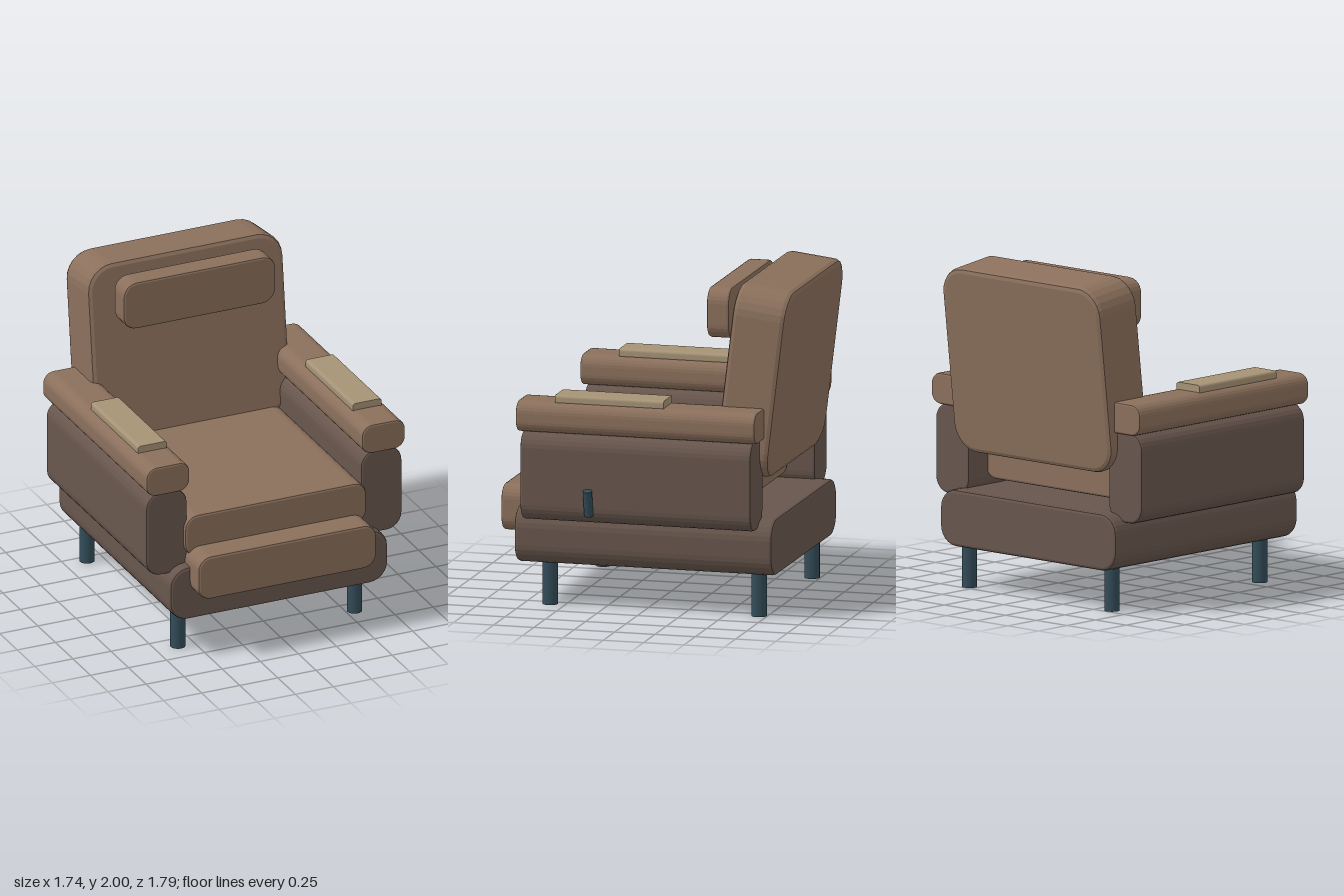
import * as THREE from 'three';

const material = (name, color) => {
  const m = new THREE.MeshStandardMaterial({ color });
  m.name = name;
  return m;
};

// Rounded rectangle outline centred on the origin
function roundedRect(w, h, r) {
  const s = new THREE.Shape();
  const x = w / 2 - r, y = h / 2 - r;
  s.absarc(x, y, r, 0, Math.PI / 2);
  s.absarc(-x, y, r, Math.PI / 2, Math.PI);
  s.absarc(-x, -y, r, Math.PI, Math.PI * 1.5);
  s.absarc(x, -y, r, Math.PI * 1.5, Math.PI * 2);
  s.closePath();
  return s;
}

// Padded block: rounded outline in x/y, bevelled at both z ends
function cushion(name, mat, [x0, x1], [y0, y1], [z0, z1], radius, bevel) {
  const w = x1 - x0, h = y1 - y0, d = z1 - z0;
  const shape = roundedRect(w - 2 * bevel, h - 2 * bevel, radius - bevel);
  const geo = new THREE.ExtrudeGeometry(shape, {
    depth: d - 2 * bevel, bevelEnabled: true, bevelSize: bevel,
    bevelThickness: bevel, bevelSegments: 2, curveSegments: 3,
  });
  geo.translate(0, 0, -(d - 2 * bevel) / 2);
  const mesh = new THREE.Mesh(geo, mat);
  mesh.name = name;
  mesh.position.set((x0 + x1) / 2, (y0 + y1) / 2, (z0 + z1) / 2);
  return mesh;
}

export function createModel() {
  const leather = material('brown leather', 0x8b705c);
  const darkLeather = material('dark brown leather', 0x68564d);
  const tan = material('tan pad', 0xa69376);
  const metal = material('dark blue metal', 0x334c58);
  const chair = new THREE.Group();
  chair.name = 'armchair';
  const cx = -0.025; // centre line of the upholstery

  // Base and cushions
  chair.add(
    cushion('base', darkLeather, [-0.74, 0.69], [0.257, 0.6], [-0.815, 0.782], 0.12, 0.018),
    cushion('seatCushion', leather, [-0.62, 0.57], [0.64, 0.91], [-0.55, 0.735], 0.085, 0.015),
    cushion('footrest', leather, [-0.61, 0.56], [0.423, 0.705], [0.68, 0.9], 0.085, 0.015),
    cushion('headrest', leather, [-0.525, 0.475], [1.648, 1.955], [-0.49, -0.35], 0.09, 0.014),
  );

  // Leaning backrest
  const back = cushion('backrest', leather, [-0.67, 0.62], [0.842, 1.99], [-0.828, -0.497], 0.17, 0.03);
  back.rotation.x = -0.12;
  chair.add(back);

  // Arms, mirrored about the centre line
  for (const [side, s] of [['left', 1], ['right', -1]]) {
    const span = (a, b) => [cx + s * a, cx + s * b].sort((p, q) => p - q);
    chair.add(
      cushion(side + 'ArmPanel', darkLeather, span(0.57, 0.84), [0.548, 1.095], [-0.72, 0.71], 0.1, 0.014),
      cushion(side + 'Armrest', leather, span(0.565, 0.85), [1.088, 1.276], [-0.747, 0.735], 0.07, 0.012),
      cushion(side + 'ArmPad', tan, span(0.61, 0.8), [1.262, 1.32], [-0.17, 0.505], 0.018, 0.003),
    );
  }

  // Legs
  const legGeo = new THREE.CylinderGeometry(0.046, 0.046, 0.27, 16);
  for (const x of [-0.605, 0.555]) {
    for (const z of [-0.7, 0.595]) {
      const leg = new THREE.Mesh(legGeo, metal);
      leg.name = (z > 0 ? 'front' : 'back') + (x > 0 ? 'Left' : 'Right') + 'Leg';
      leg.position.set(x, 0.135, z);
      chair.add(leg);
    }
  }

  // Recline lever
  const lever = new THREE.Mesh(new THREE.CylinderGeometry(0.028, 0.028, 0.16, 12), metal);
  lever.name = 'reclineLever';
  lever.position.set(0.823, 0.682, 0.285);
  lever.rotation.z = -0.22;
  chair.add(lever);

  return chair;
}
